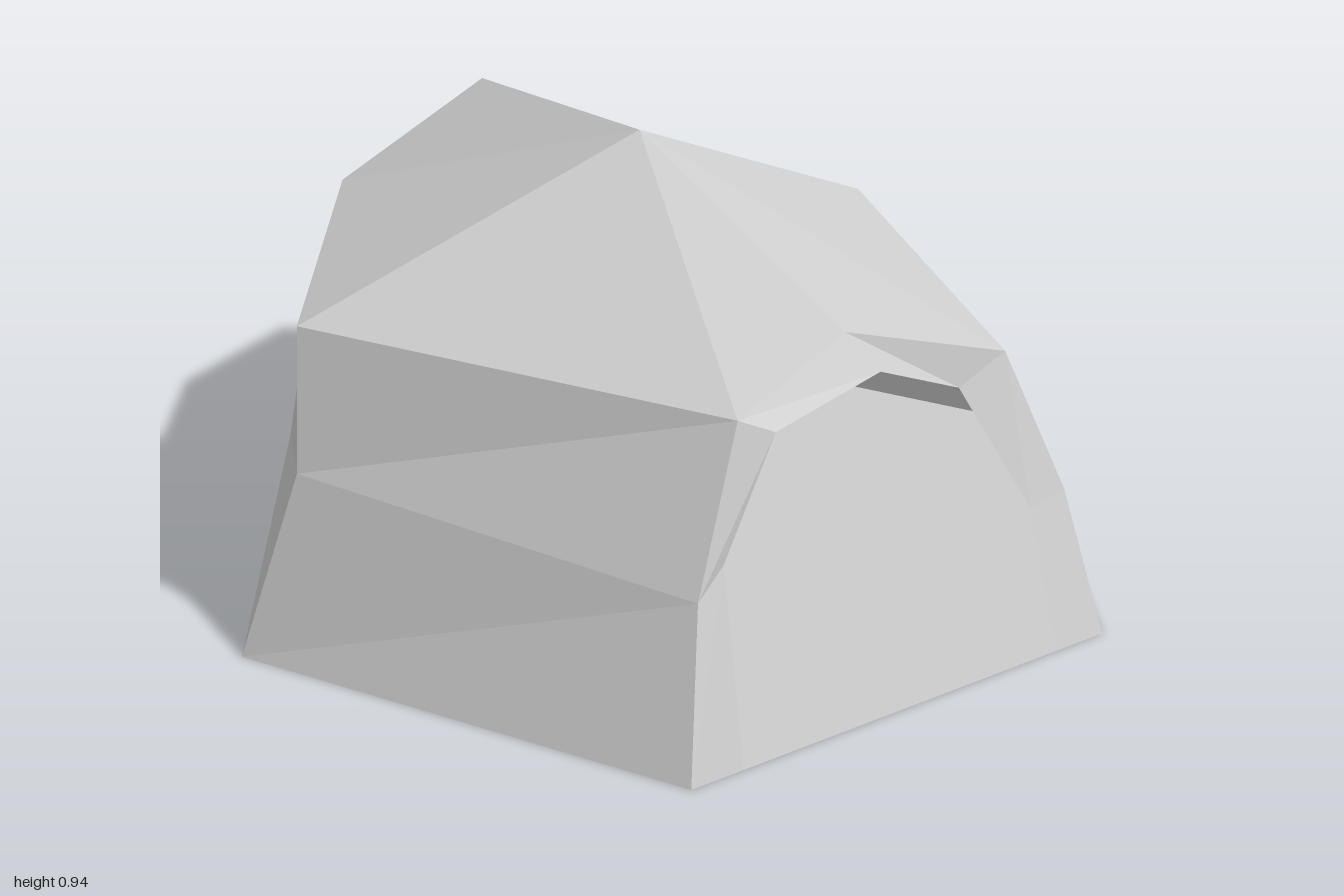
import * as THREE from 'three';

const material = new THREE.MeshStandardMaterial({
  color: 0xcccccc, flatShading: true, side: THREE.DoubleSide,
});

// Six corner ribs of the hexagonal shelter, each as foot, knee and shoulder
const ribs = {
  frontLeft: [[0.866, 0, 0.5], [0.79, 0.28, 0.4], [0.66, 0.57, 0.36]],
  left: [[0.866, 0, -0.5], [0.7, 0.33, -0.44], [0.45, 0.67, -0.31]],
  back: [[0, 0, -1], [0.01, 0.39, -0.89], [-0.03, 0.63, -0.8]],
  backRight: [[-0.866, 0, -0.5], [-0.8, 0.345, -0.49], [-0.71, 0.63, -0.54]],
  frontRight: [[-0.866, 0, 0.5], [-0.74, 0.37, 0.43], [-0.73, 0.65, 0.35]],
  front: [[0, 0, 1], [0.02, 0.3, 0.85], [0.1, 0.6, 0.71]],
};
const apex = [-0.05, 0.935, 0.04];
const frontPeak = [0.32, 0.68, 0.5];
const backPeak = [-0.39, 0.79, -0.79];

// Flat-shaded mesh from convex polygons, each split as a fan
function panel(name, polygons) {
  const points = [];
  for (const p of polygons) {
    for (let i = 1; i < p.length - 1; i++) points.push(...p[0], ...p[i], ...p[i + 1]);
  }
  const geometry = new THREE.BufferGeometry();
  geometry.setAttribute('position', new THREE.Float32BufferAttribute(points, 3));
  geometry.computeVertexNormals();
  const mesh = new THREE.Mesh(geometry, material);
  mesh.name = name;
  return mesh;
}

// Solid wall of two bands between neighbouring ribs
function wall(name, a, b) {
  return panel(name, [0, 1].map((i) => [a[i], b[i], b[i + 1], a[i + 1]]));
}

// Arched frame joining two ribs and a peak to an inner opening of seven points
function doorway(name, a, peak, b, inner) {
  const outer = [...a, peak, ...[...b].reverse()];
  const faces = [];
  for (let i = 0; i < 6; i++) faces.push([outer[i], inner[i], inner[i + 1], outer[i + 1]]);
  return panel(name, faces);
}

export function createModel() {
  const group = new THREE.Group();
  group.name = 'shelter';
  const { frontLeft, left, back, backRight, frontRight, front } = ribs;

  // Closed walls
  group.add(
    wall('frontWall', frontRight, front),
    wall('leftWall', frontLeft, left),
    wall('backWall', left, back),
    wall('rightWall', backRight, frontRight),
  );

  // Two open doorways
  group.add(doorway('frontDoorway', front, frontPeak, frontLeft, [
    [0.1, 0, 0.94], [0.07, 0.35, 0.8], [0.17, 0.575, 0.71], [0.39, 0.6, 0.51],
    [0.56, 0.52, 0.42], [0.71, 0.27, 0.46], [0.76, 0, 0.56],
  ]));
  group.add(doorway('backDoorway', back, backPeak, backRight, [
    [-0.13, 0, -0.925], [-0.166, 0.31, -0.85], [-0.19, 0.523, -0.8], [-0.41, 0.72, -0.81],
    [-0.63, 0.497, -0.63], [-0.71, 0.25, -0.587], [-0.79, 0, -0.545],
  ]));

  // Roof facets rising to the apex
  const rim = [frontRight[2], front[2], frontPeak, frontLeft[2], left[2], back[2], backPeak, backRight[2]];
  group.add(panel('roof', rim.map((p, i) => [p, rim[(i + 1) % rim.length], apex])));

  // Hexagonal floor, facing down
  group.add(panel('floor', [Object.values(ribs).map((r) => r[0]).reverse()]));
  return group;
}
